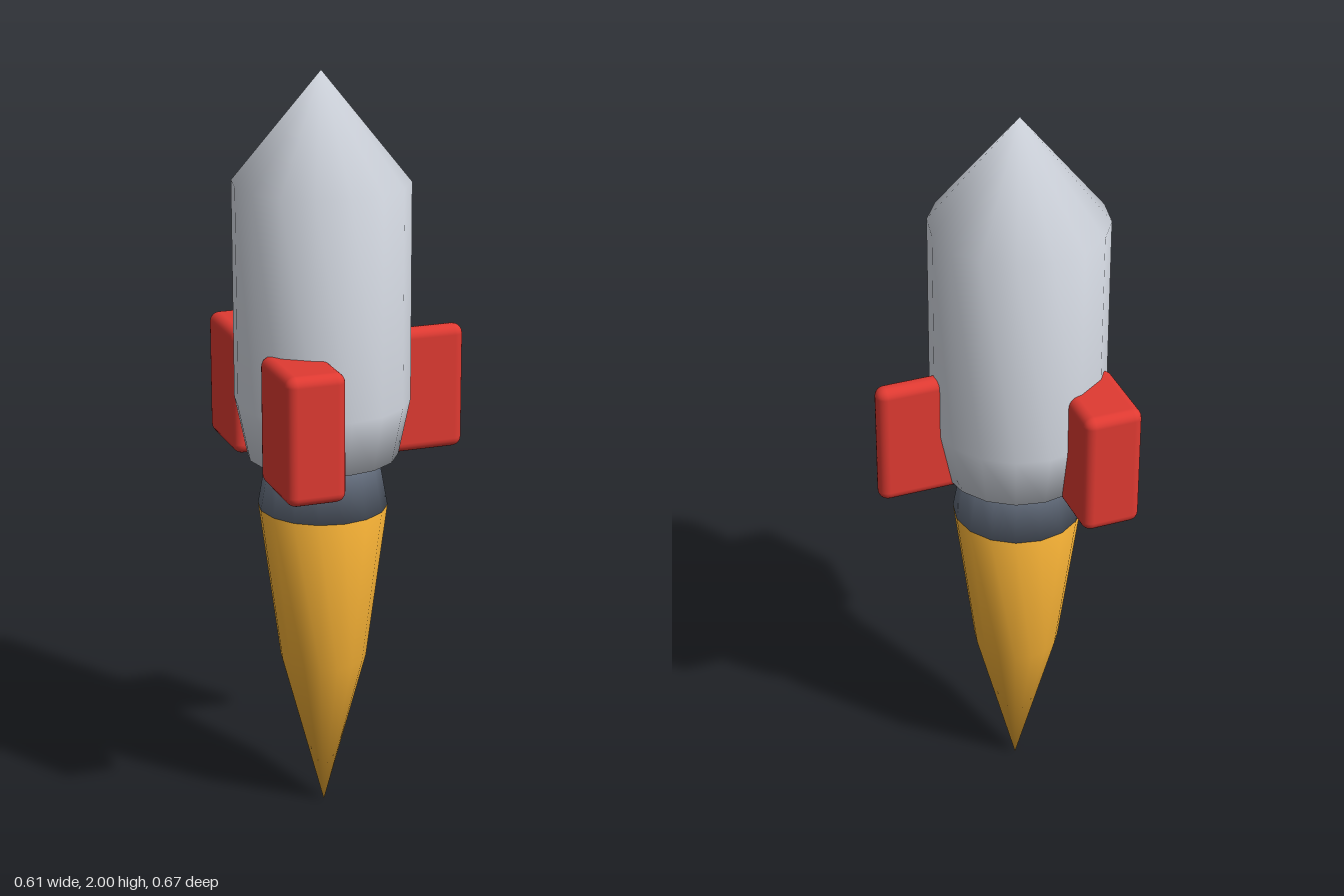
import * as THREE from 'three';
import { mergeVertices } from 'three/addons/utils/BufferGeometryUtils.js';
import { RoundedBoxGeometry } from 'three/addons/geometries/RoundedBoxGeometry.js';

const AXIS_X = -0.08; // the hull sits off centre, balanced by the side fin
const SIDES = 16;

const paint = (color) => new THREE.MeshStandardMaterial({ color });

// Closed turned part from [radius, y] pairs, bottom to top, welded smooth
function turned(name, profile, material) {
  const lathe = new THREE.LatheGeometry(profile.map(([r, y]) => new THREE.Vector2(r, y)), SIDES);
  lathe.deleteAttribute('uv');
  lathe.deleteAttribute('normal');
  const geometry = mergeVertices(lathe, 1e-4);
  geometry.computeVertexNormals();
  const mesh = new THREE.Mesh(geometry, material);
  mesh.name = name;
  mesh.position.x = AXIS_X;
  return mesh;
}

// Rounded fin block given by its extents in x and z
function fin(name, x0, x1, z0, z1, material) {
  const y0 = 0.98, y1 = 1.315;
  const mesh = new THREE.Mesh(new RoundedBoxGeometry(x1 - x0, y1 - y0, z1 - z0, 3, 0.026), material);
  mesh.name = name;
  mesh.position.set((x0 + x1) / 2, (y0 + y1) / 2, (z0 + z1) / 2);
  return mesh;
}

export function createModel() {
  const rocket = new THREE.Group();
  rocket.name = 'rocket';

  // Hull with pointed nose, nozzle and exhaust flame
  rocket.add(turned('hull', [[0, 1], [0.197, 1], [0.228, 1.15], [0.228, 1.72], [0, 2]], paint(0xd5dae3)));
  rocket.add(turned('nozzle', [[0, 0.86], [0.17, 0.86], [0.145, 1.0], [0, 1.0]], paint(0x667080)));
  rocket.add(turned('flame', [[0, 0], [0.114, 0.43], [0.17, 0.86], [0, 0.86]], paint(0xf7b236)));

  // One thin fin at the side, two thick ones front and back
  const red = paint(0xe03a32);
  rocket.add(fin('sideFin', 0.05, 0.305, -0.027, 0.027, red));
  rocket.add(fin('frontFin', -0.285, -0.13, 0.105, 0.336, red));
  rocket.add(fin('backFin', -0.285, -0.13, -0.336, -0.105, red));

  return rocket;
}
